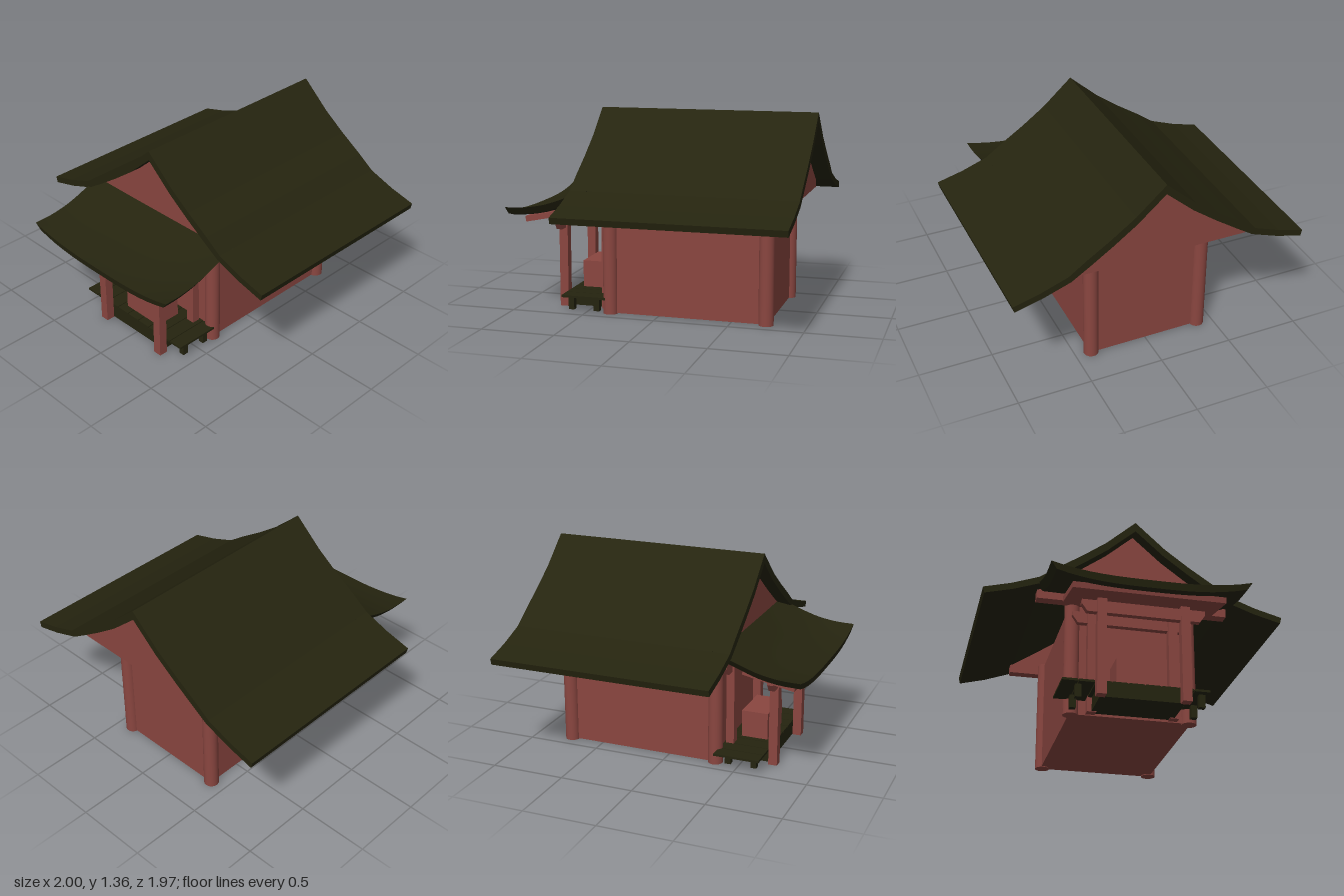
import * as THREE from 'three';

const timber = new THREE.MeshStandardMaterial({ color: 0x8a4640 });
timber.name = 'red timber';
const dark = new THREE.MeshStandardMaterial({ color: 0x25240f });
dark.name = 'dark roof and deck';

// Half profiles of the main roof, from ridge to eave
const roofTop = [[0, 1.355], [0.2, 1.175], [0.36, 1.058], [0.52, 0.952], [0.64, 0.866], [0.82, 0.8], [1, 0.752]];
const roofUnder = [[0, 1.29], [0.19, 1.122], [0.35, 1.005], [0.5, 0.903], [0.62, 0.825], [0.81, 0.757], [0.99, 0.71]];

export function createModel() {
  const model = new THREE.Group();
  model.name = 'shrine';

  const add = (name, geometry, material, x = 0, y = 0, z = 0) => {
    const mesh = new THREE.Mesh(geometry, material);
    mesh.name = name;
    mesh.position.set(x, y, z);
    model.add(mesh);
    return mesh;
  };
  // Box given by its ranges on each axis
  const block = (name, material, [x0, x1], [y0, y1], [z0, z1]) =>
    add(name, new THREE.BoxGeometry(x1 - x0, y1 - y0, z1 - z0), material, (x0 + x1) / 2, (y0 + y1) / 2, (z0 + z1) / 2);
  // Outline in x and y, pushed out along z
  const slab = (name, material, points, z0, z1) => {
    const shape = new THREE.Shape(points.map(([x, y]) => new THREE.Vector2(x, y)));
    return add(name, new THREE.ExtrudeGeometry(shape, { depth: z1 - z0, bevelEnabled: false }), material, 0, 0, z0);
  };
  const mirrored = (half) => [...half.slice(1).reverse().map(([x, y]) => [-x, y]), ...half];

  // Hall with round corner columns
  block('hallWalls', timber, [-0.4, 0.4], [0.005, 0.79], [-0.745, 0.345]);
  for (const x of [-0.39, 0.39]) {
    for (const z of [-0.733, 0.335]) {
      add('cornerColumn', new THREE.CylinderGeometry(0.05, 0.05, 0.8, 24), timber, x, 0.4, z);
    }
  }

  // Main roof and the gable panels below it
  slab('mainRoof', dark, [...mirrored(roofTop), ...mirrored(roofUnder).reverse()], -0.985, 0.52);
  const gable = [[-0.64, 0.76], [0.64, 0.76], [0.64, 0.82], ...mirrored(roofUnder.slice(0, 5)).reverse(), [-0.64, 0.82]];
  slab('backGable', timber, gable, -0.87, -0.8);
  slab('frontGable', timber, gable, 0.36, 0.43);

  // Porch roof: sweeps down to the front, corners turned up
  const sweep = new THREE.CatmullRomCurve3([
    [0.4, 0.87], [0.52, 0.813], [0.7, 0.735], [0.85, 0.694], [0.98, 0.675],
  ].map(([z, y]) => new THREE.Vector3(0, y, z)));
  const porch = new THREE.BoxGeometry(1.28, 1, 1, 16, 1, 10);
  const pos = porch.attributes.position;
  for (let i = 0; i < pos.count; i++) {
    const x = pos.getX(i);
    const t = pos.getZ(i) + 0.5;
    const p = sweep.getPoint(t);
    const lift = 0.06 * t * Math.abs(x / 0.64) ** 3;
    const under = pos.getY(i) < 0;
    pos.setXYZ(i, under ? x * 0.945 : x, p.y + lift - (under ? 0.047 : 0), p.z - (under ? 0.01 * t : 0));
  }
  porch.computeVertexNormals();
  add('porchRoof', porch, dark);

  // Sloping board under the porch roof
  const board = add('porchRoofBoard', new THREE.BoxGeometry(0.98, 0.038, 0.355), timber, 0, 0.669, 0.725);
  board.rotation.x = Math.atan2(0.07, 0.35);

  // Porch posts and tapered cross beams
  for (const x of [-0.27, 0.27]) {
    block('frontPost', timber, [x - 0.03, x + 0.03], [0, 0.65], [0.675, 0.735]);
    block('rearPost', timber, [x - 0.03, x + 0.03], [0, 0.72], [0.375, 0.43]);
  }
  const beam = (name, y, z) =>
    slab(name, timber, [[-0.365, y], [0.365, y], [0.4, y + 0.05], [0.4, y + 0.08], [-0.4, y + 0.08], [-0.4, y + 0.05]], z - 0.02, z + 0.02);
  beam('frontBeam', 0.55, 0.708);
  beam('rearBeam', 0.62, 0.395);

  // Deck planks on a base, with legs at both sides
  const planks = 9;
  const pitch = 0.945 / planks;
  for (let i = 0; i < planks; i++) {
    const x = -0.505 + i * pitch;
    block('deckPlank', dark, [x, x + pitch - 0.006], [0.095, 0.11], [0.362, 0.675]);
  }
  block('deckBase', dark, [-0.27, 0.27], [0.005, 0.097], [0.385, 0.675]);
  for (const x of [-0.395, 0.395]) {
    for (const z of [0.43, 0.61]) {
      block('deckLeg', dark, [x - 0.02, x + 0.02], [0.01, 0.096], [z - 0.02, z + 0.02]);
    }
  }

  // Offering box
  block('offeringBox', timber, [-0.155, 0.155], [0.11, 0.295], [0.435, 0.618]);

  return model;
}
